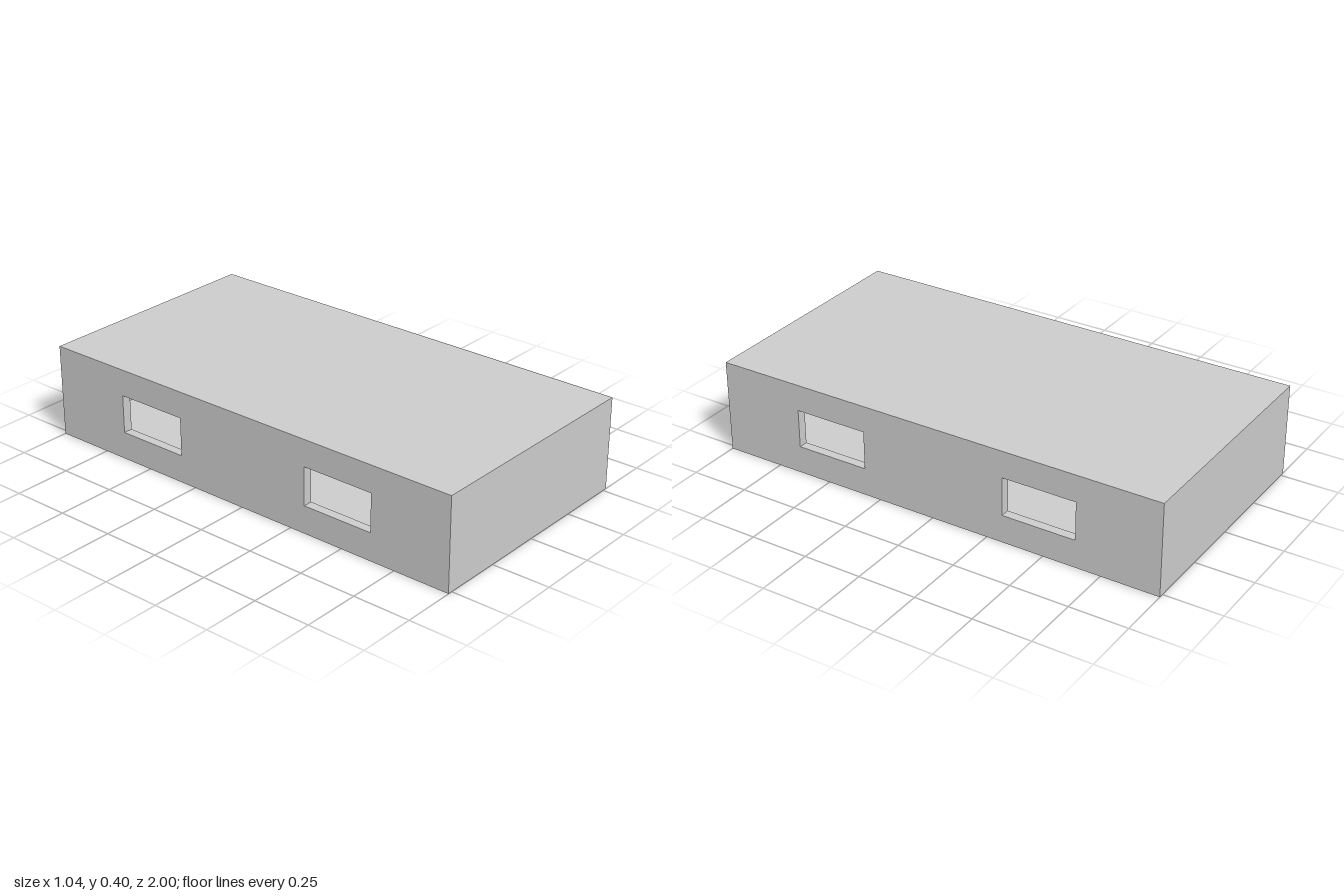
import * as THREE from 'three';

const W = 1.04, H = 0.4, L = 2; // outer size
const T = 0.04;                 // wall thickness

const material = new THREE.MeshStandardMaterial({ color: 0xcccccc, flatShading: true });

function rectangle(target, x0, y0, x1, y1) {
  target.moveTo(x0, y0);
  target.lineTo(x1, y0);
  target.lineTo(x1, y1);
  target.lineTo(x0, y1);
  target.closePath();
  return target;
}

// Wall panel facing +z at the given distance, its inner rim mitred to meet the neighbours
function panel(name, w, h, distance, holes = []) {
  const shape = rectangle(new THREE.Shape(), -w / 2, -h / 2, w / 2, h / 2);
  for (const hole of holes) shape.holes.push(rectangle(new THREE.Path(), ...hole));
  const geometry = new THREE.ExtrudeGeometry(shape, { depth: T, bevelEnabled: false });
  const p = geometry.attributes.position;
  for (let i = 0; i < p.count; i++) {
    const x = p.getX(i), y = p.getY(i);
    if (p.getZ(i) > T / 2) continue;
    if (Math.abs(x) > w / 2 - 0.001) p.setX(i, x - Math.sign(x) * T);
    if (Math.abs(y) > h / 2 - 0.001) p.setY(i, y - Math.sign(y) * T);
  }
  geometry.computeVertexNormals();
  geometry.translate(0, 0, distance - T);
  const mesh = new THREE.Mesh(geometry, material);
  mesh.name = name;
  return mesh;
}

export function createModel() {
  const group = new THREE.Group();
  group.name = 'hollowBox';
  const shell = new THREE.Group();
  shell.name = 'shell';
  shell.position.y = H / 2;
  group.add(shell);

  // Two openings in each long side
  const y0 = 0.12 - H / 2, y1 = 0.285 - H / 2;
  const openings = [[-0.64, y0, -0.32, y1], [0.32, y0, 0.64, y1]];

  for (const s of [1, -1]) {
    // Long side walls
    const side = panel(s > 0 ? 'leftWall' : 'rightWall', L, H, W / 2, openings);
    side.rotation.y = s * Math.PI / 2;
    // End walls
    const end = panel(s > 0 ? 'frontWall' : 'backWall', W, H, L / 2);
    end.rotation.y = s > 0 ? 0 : Math.PI;
    // Roof and floor
    const slab = panel(s > 0 ? 'roof' : 'floor', W, L, H / 2);
    slab.rotation.x = -s * Math.PI / 2;
    shell.add(side, end, slab);
  }
  return group;
}
